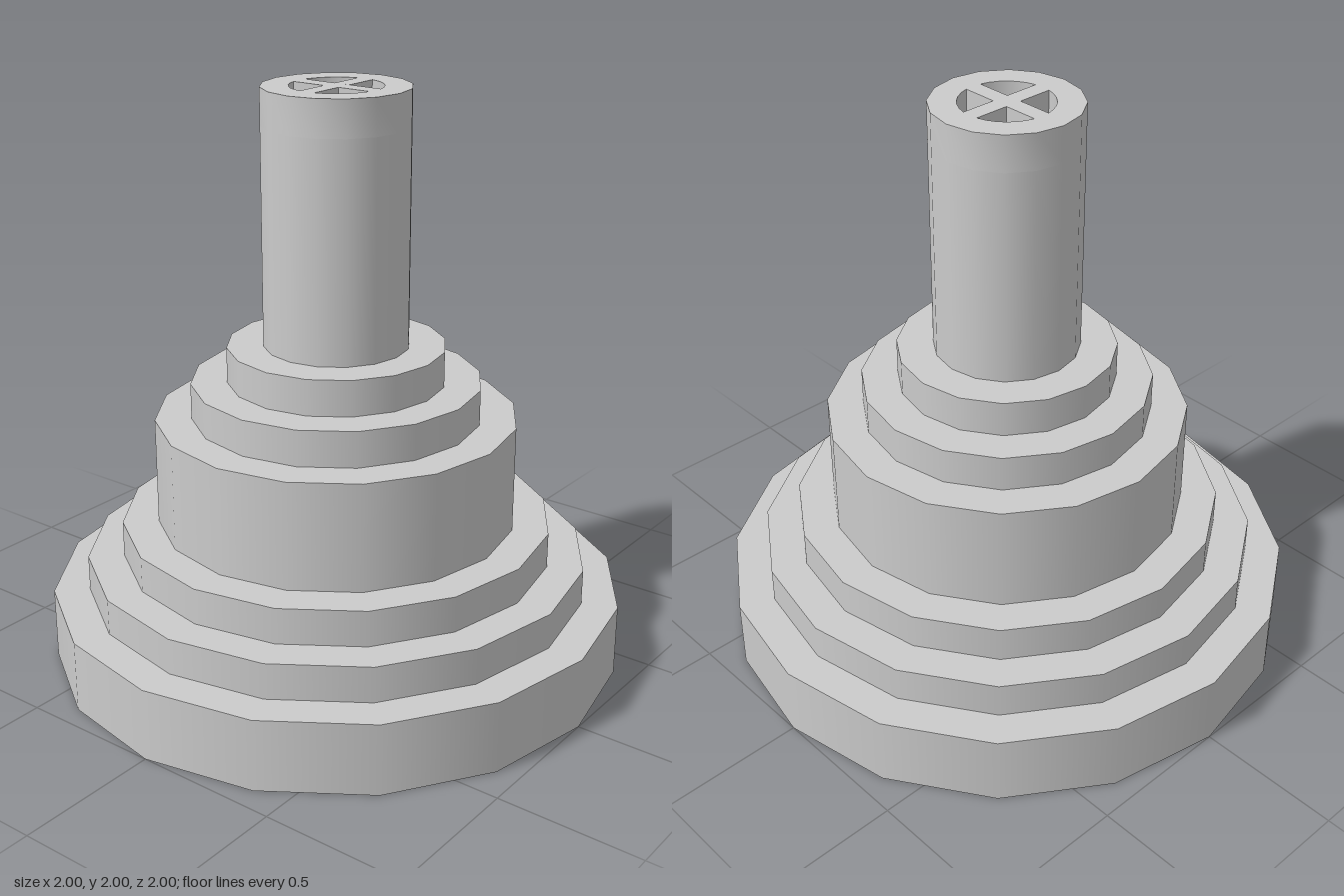
import * as THREE from 'three';
import { toCreasedNormals } from 'three/addons/utils/BufferGeometryUtils.js';

const SIDES = 16;
const material = new THREE.MeshStandardMaterial({ color: 0xcccccc });

function addMesh(group, name, geometry, y) {
  const mesh = new THREE.Mesh(geometry, material);
  mesh.name = name;
  mesh.position.y = y;
  group.add(mesh);
}

// Points along an arc about the origin
function arc(radius, from, to, steps) {
  return Array.from({ length: steps + 1 }, (_, i) => {
    const a = from + ((to - from) * i) / steps;
    return new THREE.Vector2(radius * Math.cos(a), radius * Math.sin(a));
  });
}

// Sixteen-sided disc with four quarter-round openings around a cross
function socketGeometry(radius, holeRadius, halfBar, depth) {
  const shape = new THREE.Shape(arc(radius, 0, Math.PI * 2, SIDES).slice(0, SIDES));
  const gap = Math.asin(halfBar / holeRadius);
  const origin = new THREE.Vector2();
  for (let q = 0; q < 4; q++) {
    const points = [
      new THREE.Vector2(halfBar, halfBar),
      ...arc(holeRadius, gap, Math.PI / 2 - gap, 6),
    ].map((p) => p.rotateAround(origin, (q * Math.PI) / 2));
    shape.holes.push(new THREE.Path(points));
  }
  const geometry = new THREE.ExtrudeGeometry(shape, { depth, bevelEnabled: false });
  geometry.rotateX(-Math.PI / 2);
  return toCreasedNormals(geometry, 0.6);
}

export function createModel() {
  const group = new THREE.Group();
  group.name = 'steppedPedestal';

  // Stacked tiers: name, radius, bottom, top
  const tiers = [
    ['base', 1, 0, 0.25],
    ['lowerStep', 0.875, 0.25, 0.375],
    ['middleStep', 0.75, 0.375, 0.5],
    ['drum', 0.625, 0.5, 0.875],
    ['upperStep', 0.5, 0.875, 1],
    ['collar', 0.375, 1, 1.125],
    ['shaft', 0.25, 1.125, 1.875],
  ];
  for (const [name, radius, bottom, top] of tiers) {
    const geometry = new THREE.CylinderGeometry(radius, radius, top - bottom, SIDES);
    addMesh(group, name, geometry, (bottom + top) / 2);
  }

  // Shaft end with the cross-shaped socket; the shaft's top is its floor
  addMesh(group, 'crossSocket', socketGeometry(0.25, 0.156, 0.03, 0.125), 1.875);
  return group;
}
